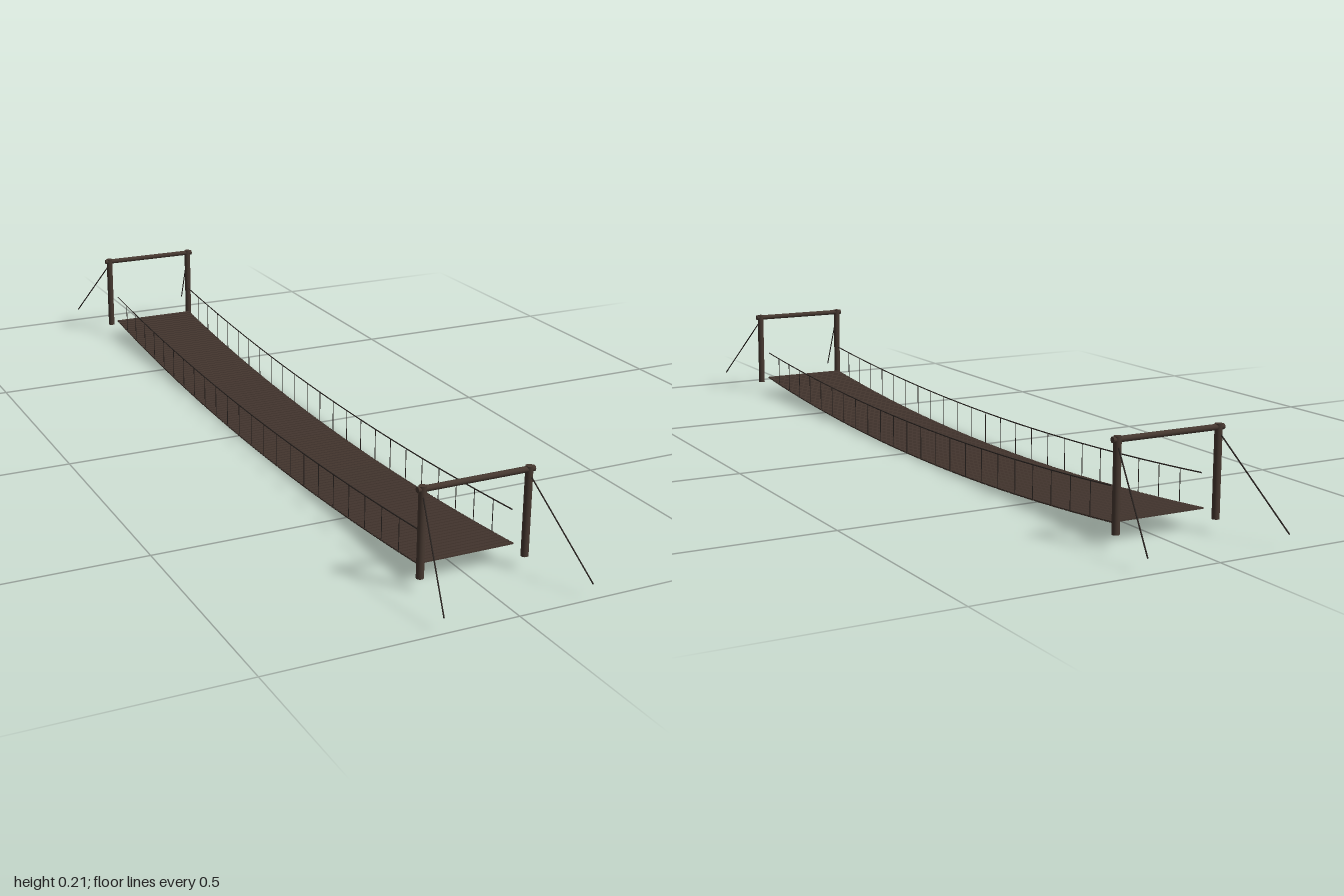
import * as THREE from 'three';

const HALF = 0.81;       // half length of the deck
const SIDE = 0.101;      // x of the ropes
const deckY = z => 0.002 + 0.039 * (z / HALF) ** 2;
const railY = z => 0.074 + 0.034 * (z / HALF) ** 2;

export function createModel() {
  const model = new THREE.Group();
  model.name = 'ropeBridge';
  const plankWood = new THREE.MeshStandardMaterial({ color: 0x43352e });
  plankWood.name = 'plank wood';
  const postWood = new THREE.MeshStandardMaterial({ color: 0x463830 });
  postWood.name = 'post wood';
  const rope = new THREE.MeshStandardMaterial({ color: 0x2a2421 });
  rope.name = 'rope';

  const group = name => {
    const g = new THREE.Group();
    g.name = name;
    model.add(g);
    return g;
  };
  const add = (parent, name, geometry, material) => {
    const mesh = new THREE.Mesh(geometry, material);
    mesh.name = name;
    parent.add(mesh);
    return mesh;
  };
  // Straight round bar between two points
  const bar = (parent, name, a, b, radius, sides, material) => {
    const from = new THREE.Vector3(...a), to = new THREE.Vector3(...b);
    const dir = to.clone().sub(from);
    const mesh = add(parent, name, new THREE.CylinderGeometry(radius, radius, dir.length(), sides), material);
    mesh.position.copy(from).add(to).multiplyScalar(0.5);
    mesh.quaternion.setFromUnitVectors(new THREE.Vector3(0, 1, 0), dir.normalize());
  };
  // Sagging rope that follows a height function
  const saggingRope = (parent, name, x, height) => {
    const points = [];
    for (let i = 0; i <= 24; i++) {
      const z = -HALF + (2 * HALF * i) / 24;
      points.push(new THREE.Vector3(x, height(z), z));
    }
    add(parent, name, new THREE.TubeGeometry(new THREE.CatmullRomCurve3(points), 48, 0.0013, 6), rope);
  };

  // Deck planks, tilted along the sag
  const deck = group('deck');
  const gaps = 120, step = (2 * HALF) / gaps;
  const plankGeometry = new THREE.BoxGeometry(0.205, 0.003, step * 0.76);
  for (let i = 0; i <= gaps; i++) {
    const z = -HALF + i * step;
    const plank = add(deck, 'plank', plankGeometry, plankWood);
    plank.position.set(0, deckY(z), z);
    plank.rotation.x = -Math.atan((2 * 0.039 * z) / (HALF * HALF));
  }

  // Hand ropes, deck ropes and hangers on both sides
  for (const s of [1, -1]) {
    const side = group(s > 0 ? 'leftRopes' : 'rightRopes');
    saggingRope(side, 'handRope', s * SIDE, railY);
    saggingRope(side, 'deckRope', s * SIDE, deckY);
    for (let k = -11; k <= 11; k++) {
      const z = (k * HALF) / 12;
      bar(side, 'hanger', [s * SIDE, deckY(z), z], [s * SIDE, railY(z), z], 0.0008, 6, rope);
    }
  }

  // Gate at each end: two posts, a crossbeam and two guy ropes
  for (const e of [1, -1]) {
    const gate = group(e > 0 ? 'frontGate' : 'backGate');
    const z = e * 0.841;
    bar(gate, 'crossbeam', [-0.122, 0.2, z], [0.122, 0.2, z], 0.006, 12, postWood);
    for (const s of [1, -1]) {
      bar(gate, 'post', [s * 0.111, 0.026, z], [s * 0.111, 0.2065, z], 0.0075, 12, postWood);
      bar(gate, 'guyRope', [s * 0.111, 0.192, z], [s * 0.153, 0.03, e * 0.999], 0.0015, 6, rope);
    }
  }
  return model;
}
